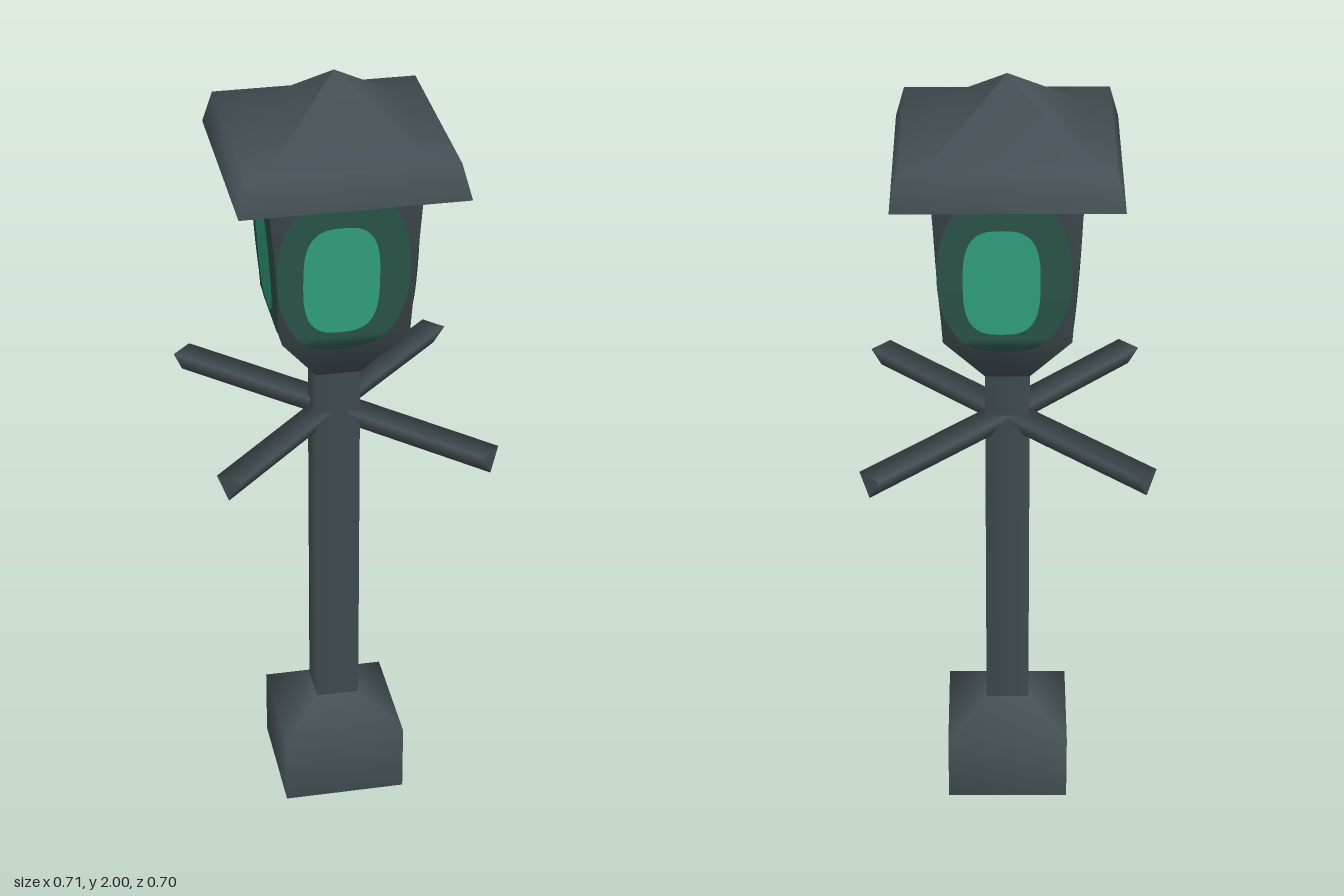
import * as THREE from 'three';

const CENTRE_Z = 0.014;

function material(name, color, side = THREE.FrontSide) {
  const m = new THREE.MeshStandardMaterial({ color, side });
  m.name = name;
  return m;
}

// Four-sided solid from [half width, height] pairs, bottom to top
function squareLathe(profile) {
  const points = profile.map(([half, y]) => new THREE.Vector2(half * Math.SQRT2, y));
  return new THREE.LatheGeometry(points, 4).rotateY(Math.PI / 4);
}

// Half width of the lantern wall at a height
function wallHalf(y) {
  return y < 1.37 ? 0.055 + (y - 1.22) * (0.1 / 0.15) : 0.155 + (y - 1.37) * (0.025 / 0.4);
}

// Rounded glow patch that follows the lantern wall
function glowPatch(cx, halfWidth, y0, y1, power, lift) {
  const geo = new THREE.PlaneGeometry(2, 2, 8, 32);
  const pos = geo.attributes.position;
  for (let i = 0; i < pos.count; i++) {
    const t = Math.sin(pos.getY(i) * Math.PI / 2);
    const y = (y0 + y1) / 2 + t * (y1 - y0) / 2;
    const w = halfWidth * Math.pow(Math.max(0, 1 - Math.pow(Math.abs(t), power)), 1 / power);
    const limit = wallHalf(y) + lift;
    const x = THREE.MathUtils.clamp(cx + pos.getX(i) * w, -limit, limit);
    pos.setXYZ(i, x, Math.min(y, 1.77), limit);
  }
  geo.computeVertexNormals();
  return geo;
}

export function createModel() {
  const group = new THREE.Group();
  const iron = material('dark iron', 0x434f54);
  const halo = material('dim green glow', 0x2a5448, THREE.DoubleSide);
  const glass = material('green glass', 0x30a080, THREE.DoubleSide);

  const post = new THREE.Group();
  post.name = 'lampPost';
  post.position.z = CENTRE_Z;
  group.add(post);
  const add = (name, geo, mat, parent = post) => {
    const mesh = new THREE.Mesh(geo, mat);
    mesh.name = name;
    parent.add(mesh);
    return mesh;
  };

  // Foot, pole and lantern body
  add('base', squareLathe([[0.155, 0], [0.155, 0.18], [0.055, 0.25]]), iron);
  add('baseUnderside', squareLathe([[0, 0], [0.155, 0]]), iron);
  add('pole', squareLathe([[0.055, 0.25], [0.055, 1.22]]), iron);
  add('lanternBody', squareLathe([[0.055, 1.22], [0.155, 1.37], [0.18, 1.77]]), iron);

  // Roof with a sloped brim and a low pyramid
  add('roof', squareLathe([[0.272, 1.77], [0.25, 1.855], [0.176, 1.856], [0, 2]]), iron);
  add('roofUnderside', squareLathe([[0, 1.77], [0.272, 1.77]]), iron);

  // Glowing window on each side, set slightly off centre
  for (let i = 0; i < 4; i++) {
    const side = new THREE.Group();
    side.name = 'window' + (i + 1);
    side.rotation.y = i * Math.PI / 2;
    add('windowGlow', glowPatch(-0.008, 0.16, 1.33, 1.785, 2.2, 0.002), halo, side);
    add('windowGlass', glowPatch(-0.014, 0.092, 1.395, 1.68, 3, 0.005), glass, side);
    post.add(side);
  }

  // Four triangular cross arms reaching out diagonally
  const armEnds = [[0.331, -0.329], [-0.333, -0.319], [-0.314, 0.325], [0.326, 0.321]];
  armEnds.forEach(([x, z], i) => {
    const length = Math.hypot(x, z);
    const geo = new THREE.CylinderGeometry(0.039, 0.039, length, 3)
      .rotateX(Math.PI / 2)
      .translate(0, 0, length / 2);
    const arm = add('crossArm' + (i + 1), geo, iron, group);
    arm.position.y = 1.089;
    arm.rotation.y = Math.atan2(x, z);
  });

  return group;
}
